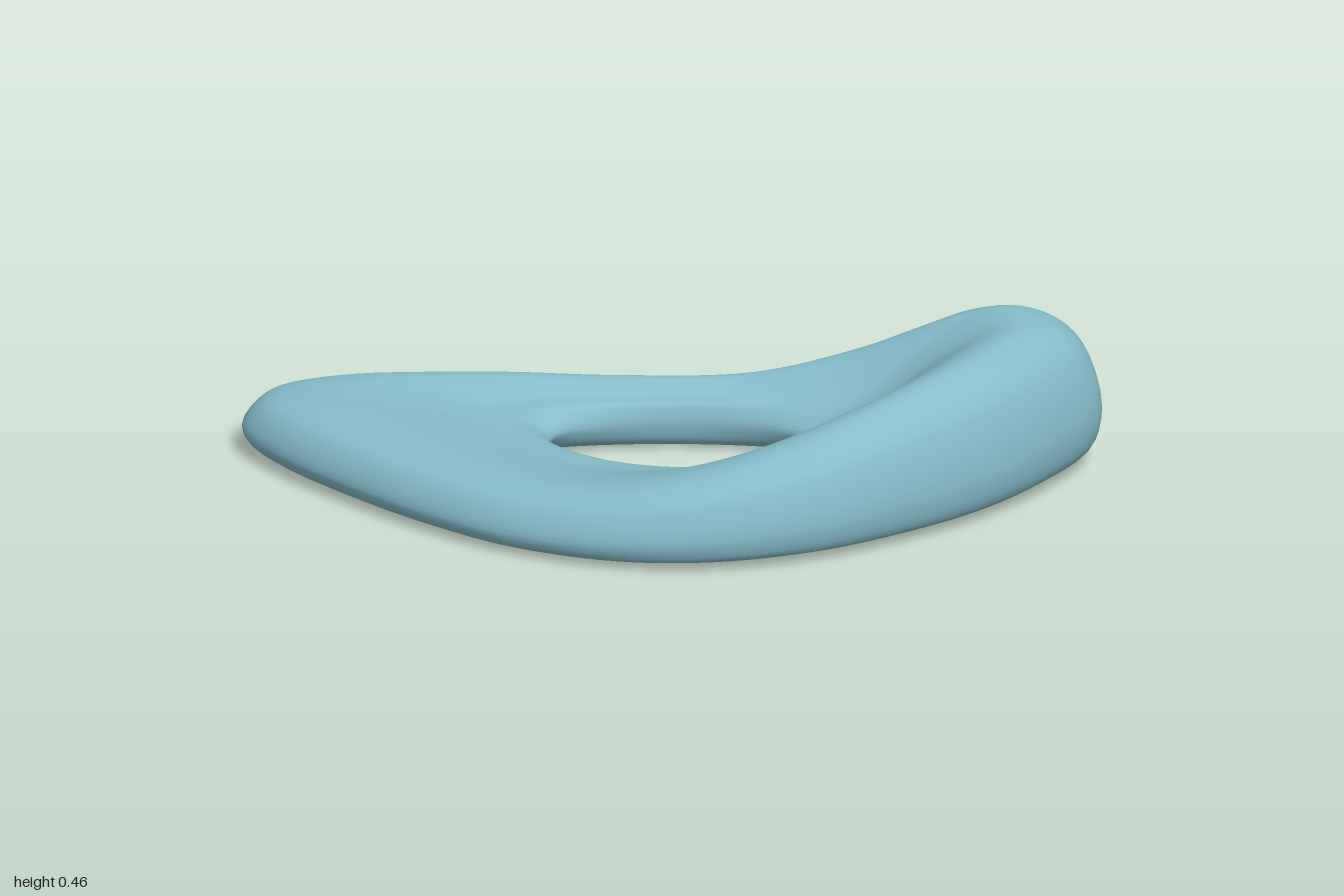
import * as THREE from 'three';

// stations around the ring: outer x, outer z, inner x, inner z, crest height
const STATIONS = [
  [0.75, -0.95, 0.30, -0.245, 0.46], [0.89, -0.86, 0.34, -0.23, 0.46],
  [0.97, -0.62, 0.385, -0.17, 0.455], [1, -0.33, 0.41, -0.07, 0.435],
  [0.965, -0.03, 0.395, 0.06, 0.39], [0.88, 0.27, 0.345, 0.17, 0.33],
  [0.72, 0.54, 0.26, 0.27, 0.265], [0.5, 0.74, 0.16, 0.33, 0.215],
  [0.2, 0.88, 0.06, 0.365, 0.19], [-0.1, 0.935, -0.04, 0.38, 0.19],
  [-0.42, 0.95, -0.12, 0.37, 0.195], [-0.75, 0.93, -0.18, 0.345, 0.2],
  [-0.93, 0.875, -0.215, 0.315, 0.2], [-1, 0.77, -0.23, 0.28, 0.2],
  [-0.95, 0.63, -0.235, 0.25, 0.2], [-0.8, 0.45, -0.225, 0.2, 0.2],
  [-0.6, 0.23, -0.18, 0.11, 0.195], [-0.33, -0.04, -0.1, 0, 0.185],
  [0, -0.36, 0.02, -0.12, 0.2], [0.3, -0.65, 0.14, -0.2, 0.29],
  [0.48, -0.81, 0.21, -0.23, 0.37], [0.62, -0.91, 0.265, -0.243, 0.43],
];

const closedCurve = (points) => new THREE.CatmullRomCurve3(points, true, 'centripetal');

// cross-section from the hole edge over the crest to the rim and back underneath
function section(h) {
  const rise = (k) => 0.14 + (h - 0.14) * k;
  return closedCurve([
    [0, 0.09], [0.06, 0.14], [0.25, rise(0.3)], [0.47, rise(0.74)], [0.68, h],
    [0.84, h * 0.94], [0.94, h * 0.77], [1, h * 0.38], [0.965, h * 0.14],
    [0.86, 0.02], [0.65, 0.002], [0.35, 0.002], [0.14, 0.016], [0.04, 0.045],
  ].map(([t, y]) => new THREE.Vector3(t, y, 0)));
}

function ringGeometry(around, across) {
  const outer = closedCurve(STATIONS.map((s) => new THREE.Vector3(s[0], s[4], s[1])));
  const inner = closedCurve(STATIONS.map((s) => new THREE.Vector3(s[2], 0, s[3])));
  const positions = [];
  const indices = [];
  for (let i = 0; i < around; i++) {
    const o = outer.getPoint(i / around);
    const n = inner.getPoint(i / around);
    const profile = section(o.y);
    const i2 = (i + 1) % around;
    for (let j = 0; j < across; j++) {
      const p = profile.getPoint(j / across);
      positions.push(n.x + (o.x - n.x) * p.x, Math.max(0, p.y), n.z + (o.z - n.z) * p.x);
      const j2 = (j + 1) % across;
      const a = i * across + j, b = i2 * across + j;
      const c = i2 * across + j2, d = i * across + j2;
      indices.push(a, b, c, a, c, d);
    }
  }
  const geometry = new THREE.BufferGeometry();
  geometry.setAttribute('position', new THREE.Float32BufferAttribute(positions, 3));
  geometry.setIndex(indices);
  geometry.computeVertexNormals();
  return geometry;
}

export function createModel() {
  const group = new THREE.Group();
  group.name = 'curvedRingSculpture';
  const teal = new THREE.MeshStandardMaterial({ color: 0x86bcc9 });
  teal.name = 'softTeal';
  const ring = new THREE.Mesh(ringGeometry(132, 56), teal);
  ring.name = 'ringBody';
  group.add(ring);
  return group;
}
